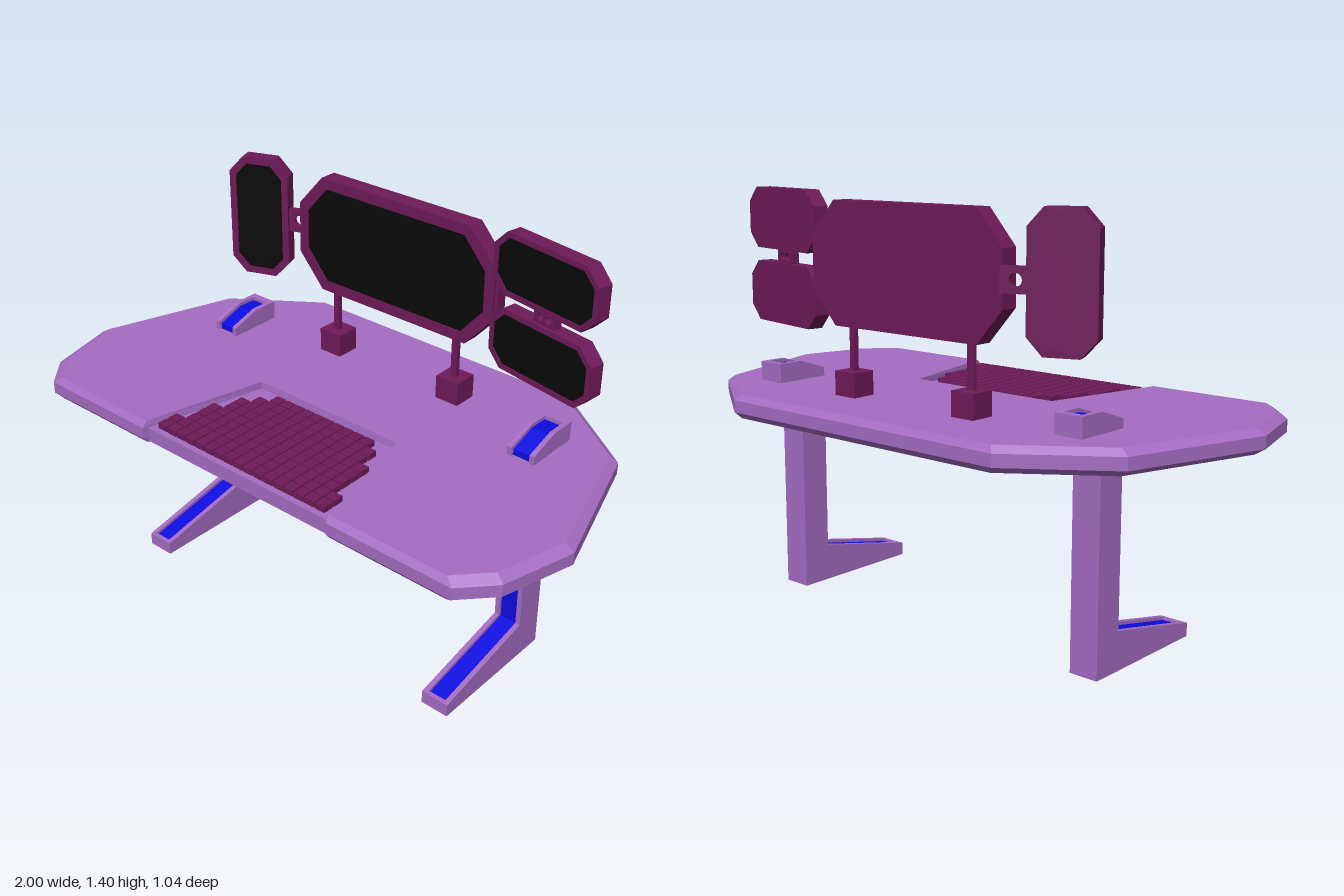
import * as THREE from 'three';

const mat = (color) => new THREE.MeshStandardMaterial({ color, flatShading: true });
const lilac = mat(0xa46cc2), plum = mat(0x6e1a58), blue = mat(0x0c0ce0), black = mat(0x0a0a0a);

function add(parent, name, geometry, material, x = 0, y = 0, z = 0) {
  const mesh = new THREE.Mesh(geometry, material);
  mesh.name = name;
  mesh.position.set(x, y, z);
  parent.add(mesh);
  return mesh;
}

const box = (w, h, d) => new THREE.BoxGeometry(w, h, d);
const shapeOf = (pts) => new THREE.Shape(pts.map(([x, y]) => new THREE.Vector2(x, y)));
const extrude = (shape, depth, steps = 1) =>
  new THREE.ExtrudeGeometry(shape, { depth, steps, bevelEnabled: false, curveSegments: 8 });

// Plan outline of [x, z] points raised along y
const slab = (pts, height, steps) =>
  extrude(shapeOf(pts.map(([x, z]) => [x, -z])), height, steps).rotateX(-Math.PI / 2);

// Side outline of [z, y] points, extruded along x and centred
const sideExtrude = (pts, width) =>
  extrude(shapeOf(pts), width).rotateY(-Math.PI / 2).translate(width / 2, 0, 0);

// Half outline on +x, mirrored to a closed loop
const mirrored = (half) => [...half, ...half.map(([x, z]) => [-x, z]).reverse()];

// Rectangle with cut corners
function octagon(w, h, cx, cy) {
  const a = w / 2, b = h / 2;
  return [[a, -b + cy], [a, b - cy], [a - cx, b], [-a + cx, b],
    [-a, b - cy], [-a, -b + cy], [-a + cx, -b], [a - cx, -b]];
}

function makeDesk(root) {
  // Top with a tapered notch at the front; outer rim narrows above and below
  const geo = slab(mirrored([[0.29, 0.08], [0.39, 0.518], [0.84, 0.518], [0.935, 0.415],
    [1, 0.17], [0.85, -0.305], [0.55, -0.52]]), 0.08, 4);
  const p = geo.attributes.position;
  for (let i = 0; i < p.count; i++) {
    const y = p.getY(i);
    if (y > 0.01 && y < 0.07) continue;
    if (Math.abs(p.getX(i)) > 0.4) p.setX(i, p.getX(i) * 0.968);
    p.setZ(i, p.getZ(i) * 0.968);
  }
  geo.computeVertexNormals();
  add(root, 'deskTop', geo, lilac, 0, 0.665, 0);

  // Sunken keyboard tray
  add(root, 'keyboardTray', slab(mirrored([[0.29, 0.08], [0.39, 0.5]]), 0.05), lilac, 0, 0.671, 0);

  // Stepped rows of keys: first and last column of each row
  const keys = new THREE.Group();
  keys.name = 'keyboard';
  root.add(keys);
  const rows = [[4, 13], [3, 14], [2, 14], [2, 15], [1, 15], [1, 15], [1, 15], [0, 16], [0, 16]];
  const pitch = 0.042, keyGeo = box(0.037, 0.028, 0.037);
  rows.forEach(([first, last], r) => {
    for (let c = first; c <= last; c++)
      add(keys, 'key', keyGeo, plum, -0.339 + c * pitch, 0.727, 0.125 + r * pitch);
  });
}

function makeLeg(root, name, x) {
  const leg = new THREE.Group();
  leg.name = name;
  leg.position.x = x;
  root.add(leg);
  // Two cheeks with a recessed blue strip between them
  const cheek = sideExtrude([[0.285, 0], [0.285, 0.045], [-0.095, 0.127], [-0.095, 0.775],
    [-0.2, 0.81], [-0.292, 0.81], [-0.292, 0.71], [-0.2, 0.71], [-0.2, 0]], 0.017);
  for (const s of [-1, 1]) add(leg, 'legCheek', cheek, lilac, s * 0.041, 0, 0);
  add(leg, 'legStrip', sideExtrude([[0.27, 0.012], [0.27, 0.038], [-0.105, 0.118], [-0.105, 0.766],
    [-0.2, 0.798], [-0.27, 0.798], [-0.27, 0.72], [-0.19, 0.72], [-0.19, 0.012]], 0.066), blue);
  // Closing plates: sole, toe, back and head
  const w = 0.066;
  add(leg, 'legSole', box(w, 0.013, 0.485), lilac, 0, 0.0065, 0.0425);
  add(leg, 'legToe', box(w, 0.045, 0.016), lilac, 0, 0.0225, 0.277);
  add(leg, 'legBack', box(w, 0.72, 0.012), lilac, 0, 0.36, -0.194);
  add(leg, 'legHeadBack', box(w, 0.1, 0.024), lilac, 0, 0.76, -0.28);
}

// Cut-corner monitor: solid back, raised bezel and recessed screen
function makeMonitor(root, name, [w, h, cx, cy], rim, depth, pos, turn = 0) {
  const g = new THREE.Group();
  g.name = name;
  g.position.set(...pos);
  g.rotation.y = turn;
  root.add(g);
  const lip = 0.008;
  const inner = octagon(w - 2 * rim, h - 2 * rim, cx - rim * 0.45, cy - rim * 0.45);
  const frame = shapeOf(octagon(w, h, cx, cy));
  add(g, 'monitorBody', extrude(frame, depth - lip), plum, 0, 0, -depth / 2);
  const bezel = shapeOf(octagon(w, h, cx, cy));
  bezel.holes.push(shapeOf(inner));
  add(g, 'monitorBezel', extrude(bezel, lip), plum, 0, 0, depth / 2 - lip);
  add(g, 'monitorScreen', extrude(shapeOf(inner), 0.004), black, 0, 0, depth / 2 - lip);
}

// Flat link plate with round holes
function makeLink(root, name, w, h, depth, holes, r, pos, turn) {
  const shape = shapeOf([[w / 2, -h / 2], [w / 2, h / 2], [-w / 2, h / 2], [-w / 2, -h / 2]]);
  for (const x of holes) shape.holes.push(new THREE.Path().absarc(x, 0, r, 0, Math.PI * 2, true));
  add(root, name, extrude(shape, depth).translate(0, 0, -depth / 2), plum, ...pos).rotation.y = turn;
}

export function createModel() {
  const root = new THREE.Group();
  root.name = 'computerDesk';

  makeDesk(root);
  makeLeg(root, 'rightLeg', -0.637);
  makeLeg(root, 'leftLeg', 0.632);

  // Monitors
  makeMonitor(root, 'mainMonitor', [0.8, 0.4, 0.1, 0.112], 0.036, 0.06, [0, 1.17, -0.268]);
  makeMonitor(root, 'tallMonitor', [0.212, 0.423, 0.05, 0.055], 0.023, 0.05, [-0.572, 1.168, -0.232], 0.36);
  for (const [name, y] of [['upperMonitor', 1.293], ['lowerMonitor', 1.043]])
    makeMonitor(root, name, [0.415, 0.205, 0.05, 0.05], 0.017, 0.053, [0.603, y, -0.225], -0.18);

  // Links between monitors
  makeLink(root, 'tallMonitorLink', 0.1, 0.08, 0.02, [0.002], 0.02, [-0.437, 1.17, -0.278], 0.36);
  makeLink(root, 'pairLink', 0.085, 0.06, 0.03, [-0.016, 0.016], 0.013, [0.605, 1.168, -0.225], -0.18);
  add(root, 'pairHinge', box(0.05, 0.12, 0.04), plum, 0.385, 1.17, -0.268);

  // Stands
  for (const x of [-0.255, 0.25]) {
    add(root, 'standFoot', box(0.088, 0.085, 0.085), plum, x, 0.783, -0.267);
    add(root, 'standPole', box(0.022, 0.2, 0.017), plum, x, 0.9, -0.265);
  }
  return root;
}
